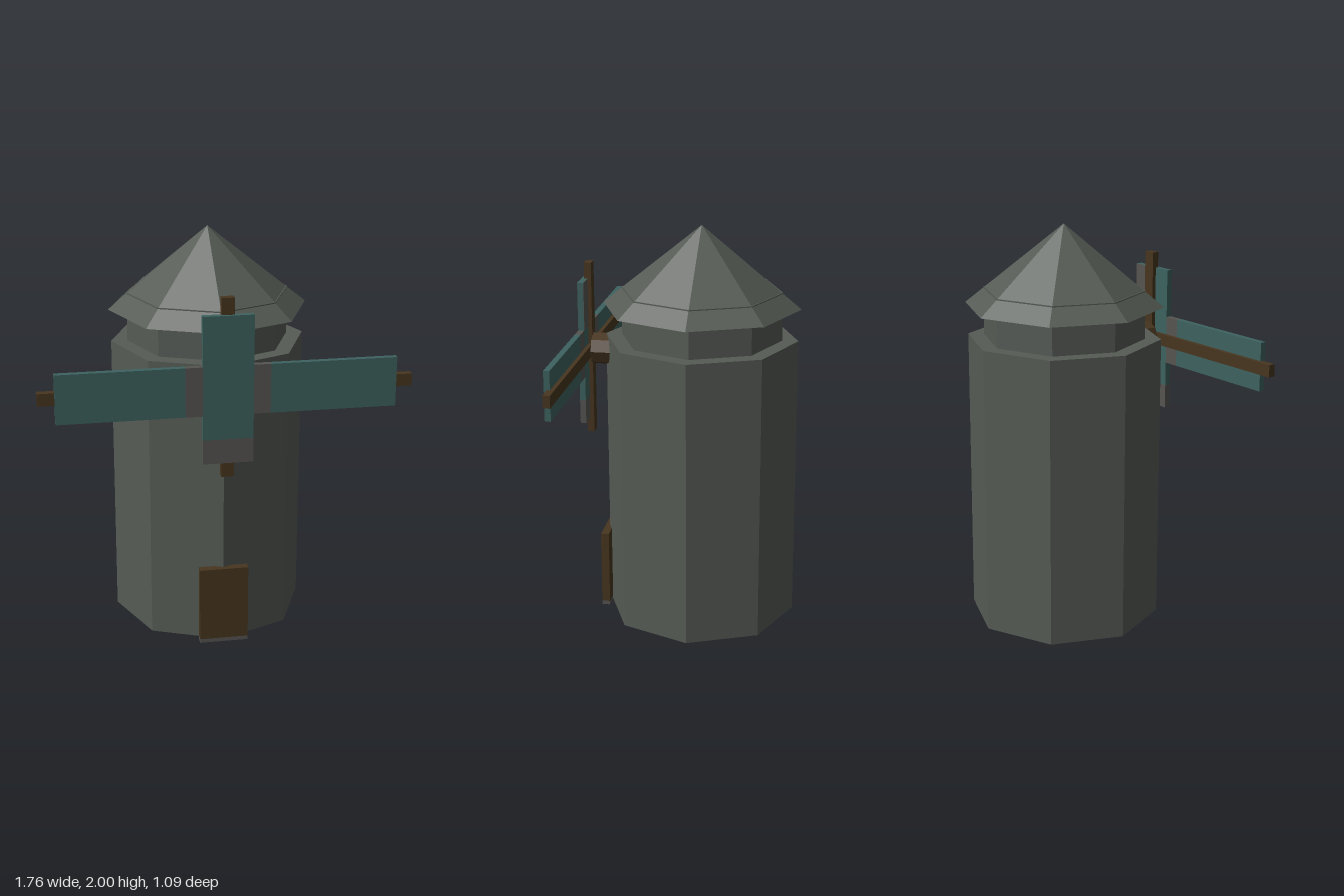
import * as THREE from 'three';

export function createModel() {
  const model = new THREE.Group();
  model.name = 'windmill';

  const material = (name, color) => {
    const m = new THREE.MeshStandardMaterial({ color, flatShading: true });
    m.name = name;
    return m;
  };
  const stone = material('stone grey', 0x565b55);
  const worn = material('worn grey', 0x555451);
  const cloth = material('sail teal', 0x3d625f);
  const wood = material('dark wood', 0x47351f);

  const add = (name, geometry, mat, x, y, z, parent = model) => {
    const mesh = new THREE.Mesh(geometry, mat);
    mesh.name = name;
    mesh.position.set(x, y, z);
    parent.add(mesh);
    return mesh;
  };
  // Box given by its limits on each axis
  const box = (name, mat, [x0, x1], [y0, y1], [z0, z1], parent) =>
    add(name, new THREE.BoxGeometry(x1 - x0, y1 - y0, z1 - z0), mat,
      (x0 + x1) / 2, (y0 + y1) / 2, (z0 + z1) / 2, parent);

  // Octagonal tower, neck and roof; the neck just breaks through the roof
  const towerZ = -0.05;
  add('tower', new THREE.CylinderGeometry(0.48, 0.48, 1.44, 8), stone, 0, 0.72, towerZ);
  add('neck', new THREE.CylinderGeometry(0.4, 0.4, 0.24, 8), stone, 0, 1.56, towerZ);
  add('roof', new THREE.ConeGeometry(0.492, 0.4, 8), stone, 0, 1.8, towerZ);

  // Door with a low sill
  const doorZ = [0.412, 0.453];
  box('door', wood, [-0.12, 0.12], [0.02, 0.4], doorZ);
  box('doorSill', worn, [-0.12, 0.12], [0, 0.02], doorZ);

  // Rotor: hub, crossed spars and sails
  const rotor = new THREE.Group();
  rotor.name = 'rotor';
  model.add(rotor);
  const hubY = 1.36;
  const hub = add('hub', new THREE.CylinderGeometry(0.08, 0.08, 0.2, 8), wood, 0, hubY, 0.395, rotor);
  hub.rotation.x = Math.PI / 2;

  const sparZ = [0.495, 0.53];
  const sailZ = [0.515, 0.544];
  box('horizontalSpar', wood, [-0.88, 0.88], [1.33, 1.39], sparZ, rotor);
  box('upperSpar', wood, [-0.03, 0.03], [1.39, 1.8], sparZ, rotor);
  box('lowerSpar', wood, [-0.03, 0.03], [0.925, 1.33], sparZ, rotor);

  // Side sails, each with a worn inner panel
  for (const side of [-1, 1]) {
    const span = (a, b) => (side > 0 ? [a, b] : [-b, -a]);
    box('sideSail', cloth, span(0.2, 0.8), [1.24, 1.48], sailZ, rotor);
    box('sideSailRoot', worn, span(0.12, 0.2), [1.24, 1.48], sailZ, rotor);
  }

  // Upright sail with a worn lower panel and a worn strip on its back
  box('uprightSail', cloth, [-0.12, 0.12], [1.12, 1.72], sailZ, rotor);
  box('uprightSailFoot', worn, [-0.12, 0.12], [1, 1.12], sailZ, rotor);
  box('uprightSailBackStrip', worn, [0.03, 0.12], [1.48, 1.72], [0.513, 0.516], rotor);

  return model;
}
